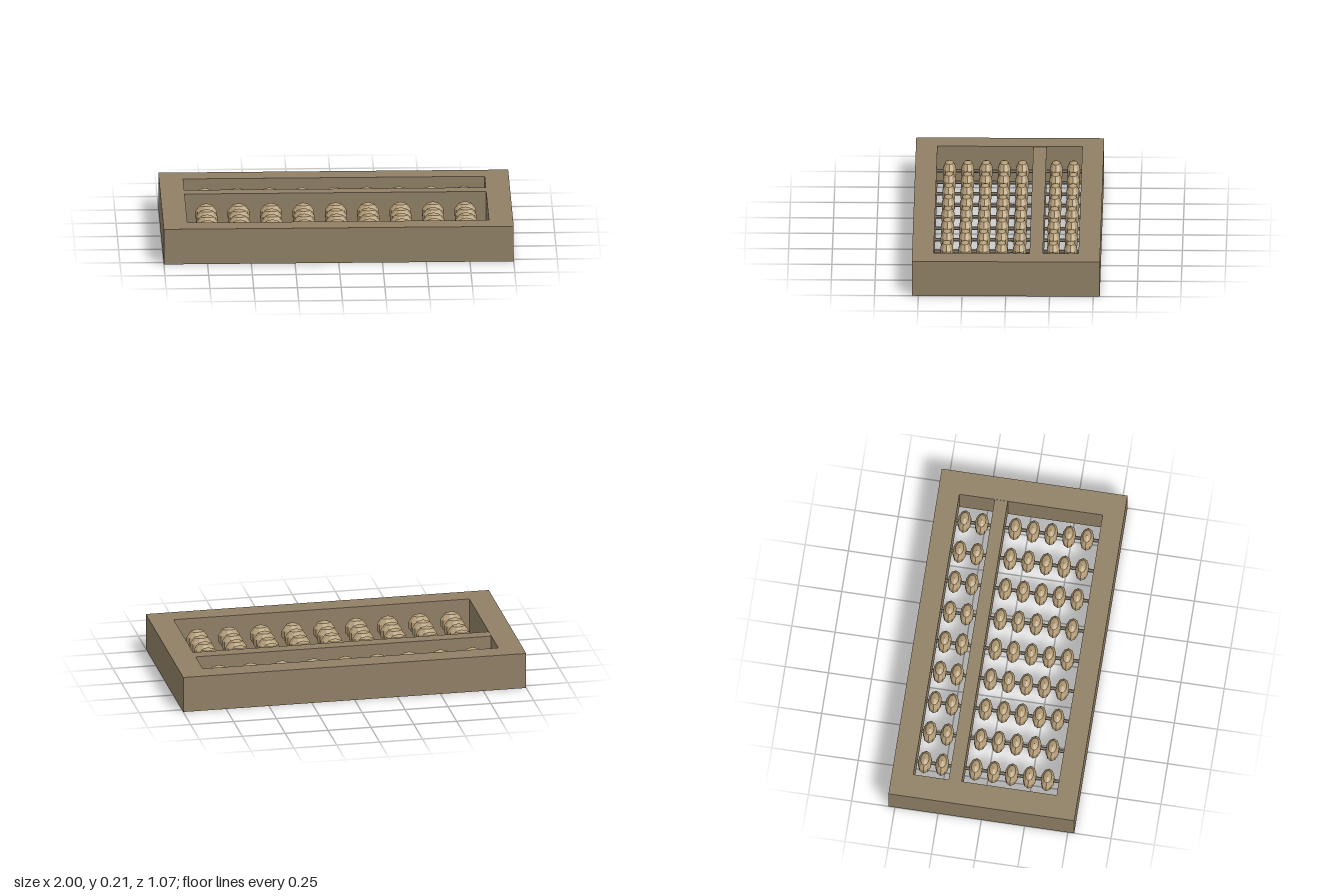
import * as THREE from 'three';

const HEIGHT = 0.21;
const MID = HEIGHT / 2;

export function createModel() {
  const model = new THREE.Group();
  model.name = 'abacus';
  const wood = new THREE.MeshStandardMaterial({ color: 0x8f7f65, flatShading: true });
  const beadWood = new THREE.MeshStandardMaterial({ color: 0xb39c76, flatShading: true });
  const rodMetal = new THREE.MeshStandardMaterial({ color: 0x857b6b, flatShading: true });

  const add = (name, geometry, material, x, y, z, parent = model) => {
    const mesh = new THREE.Mesh(geometry, material);
    mesh.name = name;
    mesh.position.set(x, y, z);
    parent.add(mesh);
    return mesh;
  };

  // Rectangular frame: outer outline with a rectangular opening
  const rect = (Type, x, z) => new Type([
    new THREE.Vector2(-x, -z), new THREE.Vector2(x, -z),
    new THREE.Vector2(x, z), new THREE.Vector2(-x, z),
  ]);
  const outline = rect(THREE.Shape, 1, 0.537);
  outline.holes.push(rect(THREE.Path, 0.862, 0.414));
  const frameGeometry = new THREE.ExtrudeGeometry(outline, { depth: HEIGHT, bevelEnabled: false });
  frameGeometry.rotateX(-Math.PI / 2);
  add('frame', frameGeometry, wood, 0, 0, 0);

  // Bar dividing the upper and lower decks
  add('dividerBar', new THREE.BoxGeometry(1.724, HEIGHT - 0.004, 0.076), wood, 0, MID, -0.172);

  // Nine rods, each with two upper and five lower beads
  const rodGeometry = new THREE.CylinderGeometry(0.011, 0.011, 0.84, 8);
  rodGeometry.rotateX(Math.PI / 2);
  const beadGeometry = new THREE.SphereGeometry(0.065, 10, 5);
  beadGeometry.scale(1, 1, 0.62);
  const beadRows = [-0.366, -0.266, -0.073, 0.031, 0.135, 0.239, 0.343];

  for (let i = 0; i < 9; i++) {
    const column = new THREE.Group();
    column.name = 'beadColumn';
    column.position.x = (i - 4) * 0.185;
    model.add(column);
    add('rod', rodGeometry, rodMetal, 0, MID, 0, column);
    for (const z of beadRows) add('bead', beadGeometry, beadWood, 0, MID, z, column);
  }
  return model;
}
